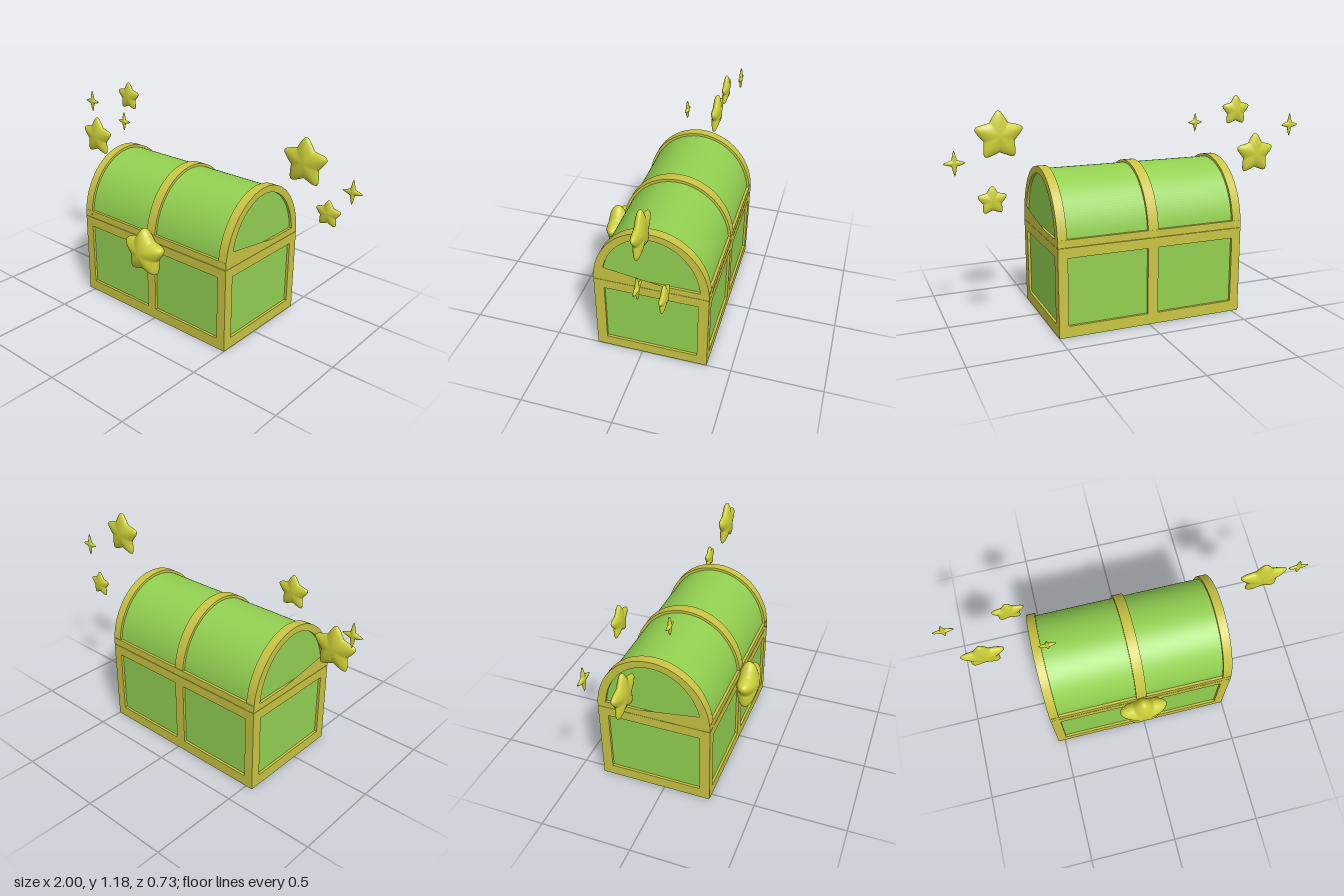
import * as THREE from 'three';
import { mergeVertices, toCreasedNormals } from 'three/addons/utils/BufferGeometryUtils.js';

// Chest extents
const X0 = -0.54, X1 = 0.50, Z0 = -0.365, Z1 = 0.26;
const CX = (X0 + X1) / 2, CZ = (Z0 + Z1) / 2;
const W = X1 - X0, D = Z1 - Z0;
const SEAM = 0.474, LID = 0.479, INSET = 0.014;

const green = new THREE.MeshStandardMaterial({ color: 0x92d050 });
green.name = 'panel green';
const gold = new THREE.MeshStandardMaterial({ color: 0xc9c443 });
gold.name = 'trim gold';
const yellow = new THREE.MeshStandardMaterial({ color: 0xcdd038 });
yellow.name = 'star yellow';

function add(parent, name, geometry, material, x = 0, y = 0, z = 0) {
  const mesh = new THREE.Mesh(geometry, material);
  mesh.name = name;
  mesh.position.set(x, y, z);
  parent.add(mesh);
  return mesh;
}

function rectPath(Type, x0, y0, x1, y1) {
  return new Type([[x0, y0], [x1, y0], [x1, y1], [x0, y1]].map(p => new THREE.Vector2(...p)));
}

// Flat panel frame with rectangular openings
function frameGeometry(width, openings) {
  const shape = rectPath(THREE.Shape, -width / 2, 0, width / 2, SEAM);
  for (const [a, b] of openings) shape.holes.push(rectPath(THREE.Path, a, 0.058, b, 0.42));
  return new THREE.ExtrudeGeometry(shape, { depth: INSET, bevelEnabled: false });
}

// Half ellipse cut off at a base height
function arch(Type, a, b, base = 0) {
  const path = new Type(), t = Math.asin(base / b);
  path.absellipse(0, 0, a, b, t, Math.PI - t, false, 0);
  path.closePath();
  return path;
}

// Arch extruded along x and centred on its own origin
function archGeometry(shape, length) {
  const g = new THREE.ExtrudeGeometry(shape, { depth: length, bevelEnabled: false, curveSegments: 36 });
  g.translate(0, 0, -length / 2);
  g.rotateY(-Math.PI / 2);
  return toCreasedNormals(g, 0.5);
}

// Puffy star: a sphere whose radius follows a softened star outline
function starGeometry(points, radius, notch, half, soft, squash = 1) {
  const g = new THREE.SphereGeometry(1, points * 16, 20);
  g.rotateX(Math.PI / 2);
  g.deleteAttribute('uv');
  g.deleteAttribute('normal');
  const step = Math.PI / points, s = Math.sin(step), c = Math.cos(step);
  const edge = d => notch * s / (Math.sin(d) * (1 - notch * c) + notch * s * Math.cos(d));
  const p = g.attributes.position;
  for (let i = 0; i < p.count; i++) {
    const x = p.getX(i), y = p.getY(i);
    const turn = Math.atan2(x, y) / (2 * step);
    const d = Math.abs(turn - Math.round(turn)) * 2 * step;
    const r = radius * edge(Math.hypot(d, soft)) / edge(soft);
    p.setXYZ(i, x * r * squash, y * r, p.getZ(i) * half);
  }
  const merged = mergeVertices(g, 1e-5);
  merged.computeVertexNormals();
  return merged;
}

export function createModel() {
  const model = new THREE.Group();
  model.name = 'treasureChest';

  // Lower box
  const base = new THREE.Group();
  base.name = 'base';
  model.add(base);
  add(base, 'basePanels', new THREE.BoxGeometry(W - 2 * INSET, 0.47, D - 2 * INSET), green, CX, 0.239, CZ);
  add(base, 'bottomPlate', new THREE.BoxGeometry(W, 0.004, D), green, CX, 0.002, CZ);
  for (const side of [1, -1]) {
    const long = add(base, side > 0 ? 'frontFrame' : 'backFrame',
      frameGeometry(W, [[-0.468, -0.029], [0.029, 0.468]]), gold,
      CX, 0.003, CZ + side * (D / 2 - INSET));
    if (side < 0) long.rotation.y = Math.PI;
    const end = add(base, side > 0 ? 'leftFrame' : 'rightFrame',
      frameGeometry(D - 0.002, [[-0.256, 0.256]]), gold,
      CX + side * (W / 2 - INSET), 0.003, CZ);
    end.rotation.y = side * Math.PI / 2;
  }

  // Arched lid
  const lid = new THREE.Group();
  lid.name = 'lid';
  lid.position.set(CX, LID, CZ);
  model.add(lid);
  add(lid, 'lidBarrel', archGeometry(arch(THREE.Shape, D / 2 - INSET, 0.342), W - 2 * INSET), green);
  add(lid, 'centreStrap', archGeometry(arch(THREE.Shape, D / 2, 0.357), 0.058), gold);
  for (const side of [1, -1]) {
    const shape = arch(THREE.Shape, D / 2, 0.357);
    shape.holes.push(arch(THREE.Path, 0.266, 0.32, 0.036));
    add(lid, side > 0 ? 'leftStrap' : 'rightStrap', archGeometry(shape, 0.05), gold, side * (W / 2 - 0.025));
    add(lid, side > 0 ? 'frontRail' : 'backRail', new THREE.BoxGeometry(W - 0.004, 0.04, 0.024), gold,
      0, 0.02, side * (D / 2 - 0.013));
  }

  // Star clasp
  add(model, 'starClasp', starGeometry(5, 0.14, 0.57, 0.058, 0.14), yellow, -0.02, 0.43, 0.305);

  // Floating stars: x, y, z, radius, half thickness
  const stars = [
    [0.705, 1.012, -0.08, 0.128, 0.028],
    [-0.792, 0.824, -0.08, 0.121, 0.027],
    [-0.60, 1.092, -0.17, 0.085, 0.019],
    [0.78, 0.716, -0.212, 0.075, 0.017],
  ];
  for (const [x, y, z, r, h] of stars) {
    add(model, 'floatingStar', starGeometry(5, r, 0.53, h, 0.12), yellow, x, y, z);
  }

  // Four-pointed sparkles: x, y, z, radius
  const sparkles = [
    [-0.947, 0.997, -0.187, 0.065],
    [-0.45, 1.01, 0.018, 0.053],
    [0.943, 0.90, -0.14, 0.065],
  ];
  for (const [x, y, z, r] of sparkles) {
    add(model, 'sparkle', starGeometry(4, r, 0.3, 0.01, 0.04, 0.85), yellow, x, y, z);
  }
  return model;
}
